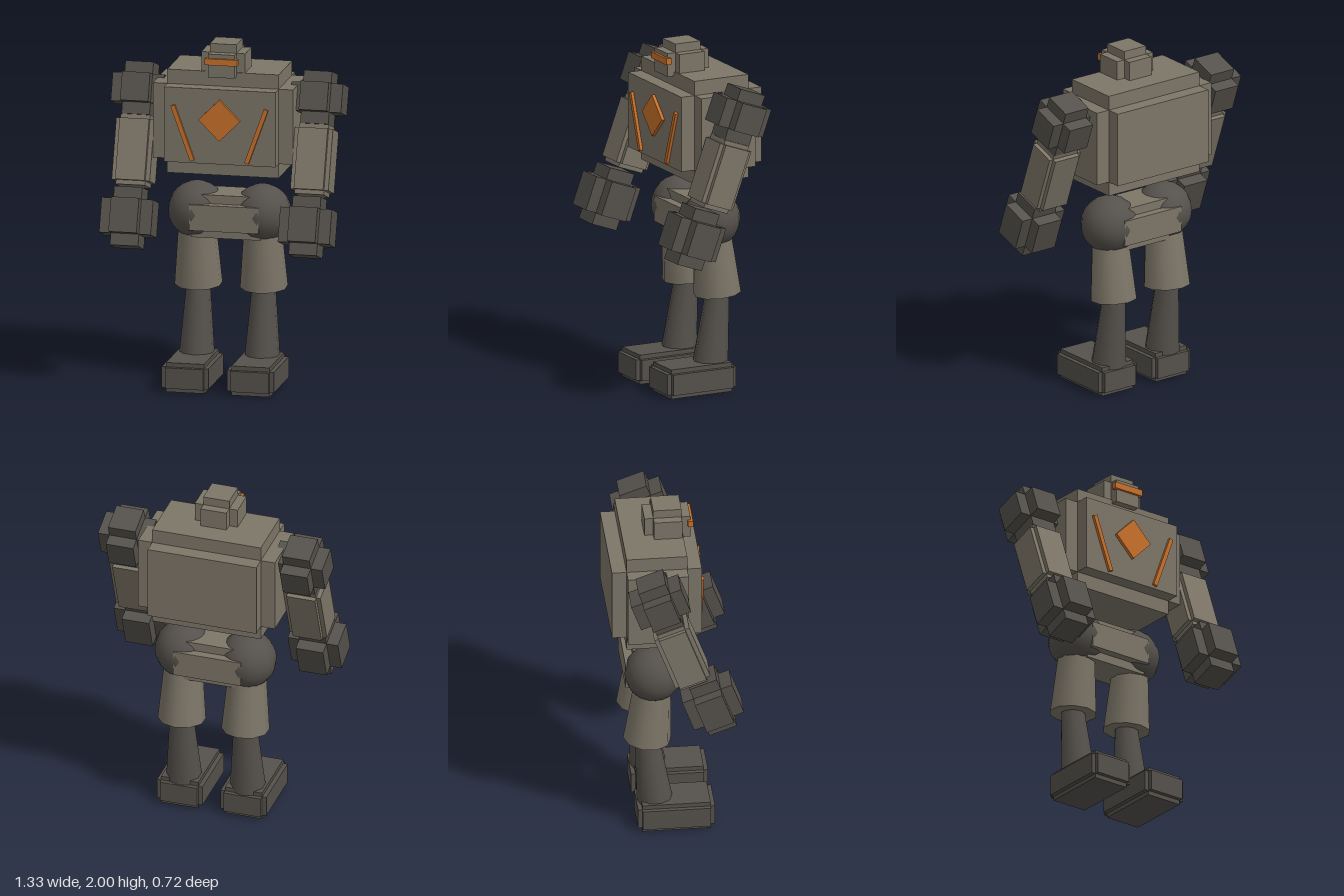
import * as THREE from 'three';

const mat = (name, color) => Object.assign(new THREE.MeshStandardMaterial({ color }), { name });

export function createModel() {
  const plate = mat('plate grey', 0x7d7668);
  const joint = mat('dark grey', 0x55514c);
  const glow = mat('orange', 0xc8702a);
  const model = new THREE.Group();
  model.name = 'robot';

  function add(name, geometry, material, pos, parent = model) {
    const mesh = new THREE.Mesh(geometry, material);
    mesh.name = name;
    mesh.position.set(...pos);
    parent.add(mesh);
    return mesh;
  }

  // Block with stepped edges: three boxes, each full length along one axis only
  function steppedBlock(name, size, inset, material, pos, tilt = 0) {
    const group = new THREE.Group();
    group.name = name;
    for (let axis = 0; axis < 3; axis++) {
      const dims = size.map((s, i) => (i === axis ? s : s - 2 * inset));
      add(name + 'Slab', new THREE.BoxGeometry(...dims), material, [0, 0, 0], group);
    }
    group.position.set(...pos);
    group.rotation.x = tilt;
    model.add(group);
  }

  // Body
  steppedBlock('torso', [0.81, 0.6, 0.51], 0.083, plate, [0, 1.54, -0.105]);
  steppedBlock('head', [0.254, 0.235, 0.26], 0.05, plate, [0, 1.883, -0.02]);
  steppedBlock('pelvis', [0.5, 0.25, 0.32], 0.05, plate, [0, 0.98, -0.11]);

  // Orange visor and chest markings
  add('visor', new THREE.BoxGeometry(0.19, 0.037, 0.03), glow, [0, 1.908, 0.11]);
  const diamond = add('chestDiamond', new THREE.BoxGeometry(0.17, 0.17, 0.03), glow, [0, 1.58, 0.154]);
  diamond.rotation.z = Math.PI / 4;

  const armTilt = -THREE.MathUtils.degToRad(20);
  for (const side of [1, -1]) {
    const label = side > 0 ? 'left' : 'right';

    const stripe = add(label + 'ChestStripe', new THREE.BoxGeometry(0.025, 0.335, 0.03), glow,
      [side * 0.213, 1.497, 0.152]);
    stripe.rotation.z = -side * 0.345;

    // Arm, swung forward
    const armX = side * 0.516;
    steppedBlock(label + 'Shoulder', [0.298, 0.3, 0.3], 0.068, joint, [armX, 1.67, -0.11], armTilt);
    steppedBlock(label + 'Forearm', [0.22, 0.4, 0.21], 0.025, plate, [armX, 1.34, 0.01], armTilt);
    steppedBlock(label + 'Hand', [0.298, 0.335, 0.3], 0.068, joint, [armX, 0.995, 0.185], armTilt);

    // Leg
    const legX = side * 0.189;
    add(label + 'Hip', new THREE.SphereGeometry(0.165, 16, 12), joint, [legX, 0.993, -0.11]);
    const thigh = add(label + 'Thigh', new THREE.CylinderGeometry(0.105, 0.136, 0.38, 10), plate,
      [legX, 0.745, -0.131]);
    thigh.rotation.x = 0.09;
    const shin = add(label + 'Shin', new THREE.CylinderGeometry(0.068, 0.102, 0.42, 10), joint,
      [legX, 0.35, -0.126]);
    shin.rotation.x = -0.11;
    steppedBlock(label + 'Foot', [0.27, 0.17, 0.437], 0.025, joint, [legX, 0.085, 0.009]);
  }
  return model;
}
